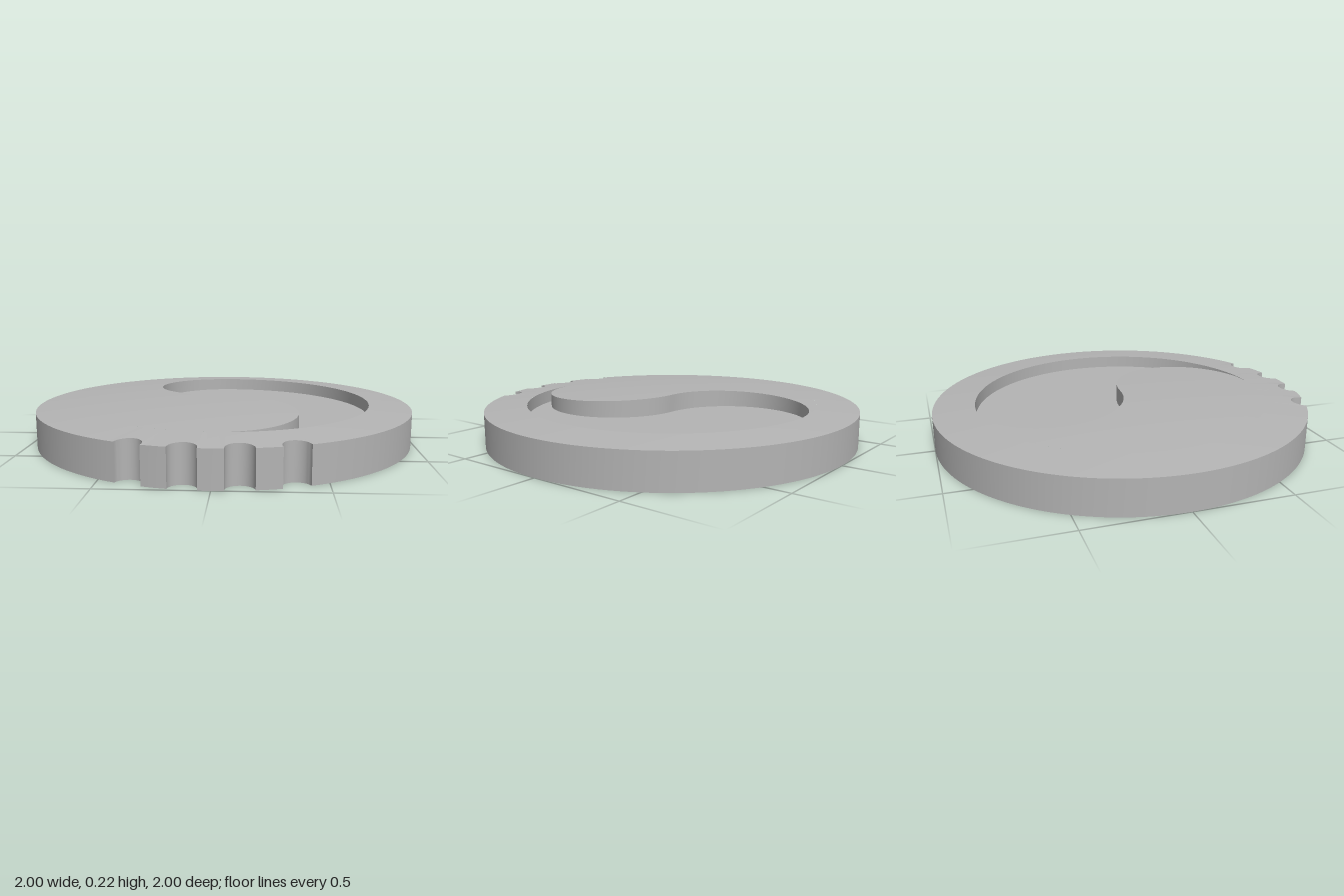
import * as THREE from 'three';
import { toCreasedNormals } from 'three/addons/utils/BufferGeometryUtils.js';

const R = 1, INNER = 0.78, HALF = INNER / 2, FLOOR = 0.13;
const NOTCH_R = 0.065, NOTCH_ORBIT = 0.995;
const NOTCH_ANGLES = [-0.368, -0.121, 0.121, 0.368];

// height of the gently domed top above a plan point
const dome = (x, z) => 0.225 - 0.045 * (x * x + z * z);

// surface through rows of [x, y, z] points; front faces (row direction) x (column direction)
function surface(rows) {
  const n = rows[0].length, index = [];
  for (let i = 0; i < rows.length - 1; i++) {
    for (let j = 0; j < n - 1; j++) {
      const a = i * n + j, b = a + n;
      index.push(a, b, a + 1, b, b + 1, a + 1);
    }
  }
  const g = new THREE.BufferGeometry();
  g.setAttribute('position', new THREE.Float32BufferAttribute(rows.flat(2), 3));
  g.setIndex(index);
  return toCreasedNormals(g, 0.5);
}

const onDome = (pts) => pts.map(([x, z]) => [x, dome(x, z), z]);
const atHeight = (pts, y) => pts.map(([x, z]) => [x, y, z]);

// rows of points blended between two plan curves; rows run along the curves
function between(left, right, steps, height) {
  return left.map(([x0, z0], i) => Array.from({ length: steps + 1 }, (_, k) => {
    const t = k / steps;
    const x = x0 + (right[i][0] - x0) * t, z = z0 + (right[i][1] - z0) * t;
    return [x, height(x, z), z];
  }));
}

// disc outline, angle measured from the front, with four round bites
function outline() {
  const pts = [];
  const halfAngle = 2 * Math.asin(NOTCH_R / 2);
  const arc = (from, to, steps) => {
    for (let i = 0; i <= steps; i++) {
      const a = from + (to - from) * i / steps;
      pts.push([R * Math.sin(a), R * Math.cos(a)]);
    }
  };
  NOTCH_ANGLES.forEach((c, k) => {
    for (let i = 0; i <= 20; i++) {
      const p = Math.PI * i / 20;
      const u = -NOTCH_R * Math.cos(p), v = NOTCH_ORBIT - NOTCH_R * Math.sin(p);
      pts.push([u * Math.cos(c) + v * Math.sin(c), v * Math.cos(c) - u * Math.sin(c)]);
    }
    const last = k === NOTCH_ANGLES.length - 1;
    const next = last ? NOTCH_ANGLES[0] + 2 * Math.PI : NOTCH_ANGLES[k + 1];
    arc(c + halfAngle, next - halfAngle, last ? 150 : 4);
  });
  pts.push(pts[0]);
  return pts;
}

export function createModel() {
  const group = new THREE.Group();
  const grey = new THREE.MeshStandardMaterial({ color: 0xb4b4b4 });
  grey.name = 'grey';
  const add = (name, geometry) => {
    const mesh = new THREE.Mesh(geometry, grey);
    mesh.name = name;
    group.add(mesh);
  };

  // S-curve of two half circles, back to front
  const sCurve = [];
  for (const side of [-1, 1]) {
    for (let i = side < 0 ? 0 : 1; i <= 48; i++) {
      const p = Math.PI * i / 48;
      sCurve.push([side * HALF * Math.sin(p), side * HALF - HALF * Math.cos(p)]);
    }
  }
  const rightArc = sCurve.map(([, z]) => [Math.sqrt(Math.max(0, INNER * INNER - z * z)), z]);
  const leftArc = rightArc.map(([x, z]) => [-x, z]);

  // outer rim, side wall and underside
  const outer = outline();
  const inner = outer.map(([x, z]) => {
    const s = INNER / Math.hypot(x, z);
    return [x * s, z * s];
  });
  const middle = outer.map(([x, z], i) => [(x + inner[i][0]) / 2, (z + inner[i][1]) / 2]);
  add('rimTop', surface([onDome(inner), onDome(middle), onDome(outer)]));
  add('sideWall', surface([onDome(outer), atHeight(outer, 0)]));
  const base = new THREE.Shape(outer.slice(0, -1).map(([x, z]) => new THREE.Vector2(x, z)));
  add('underside', new THREE.ShapeGeometry(base).rotateX(Math.PI / 2));

  // raised comma and sunken comma
  add('raisedComma', surface(between(leftArc, sCurve, 12, dome)));
  add('recessFloor', surface(between(sCurve, rightArc, 1, () => FLOOR)));
  add('recessCurvedWall', surface([atHeight(sCurve, FLOOR), onDome(sCurve)]));
  const inward = [...rightArc].reverse();
  add('recessOuterWall', surface([atHeight(inward, FLOOR), onDome(inward)]));

  return group;
}
